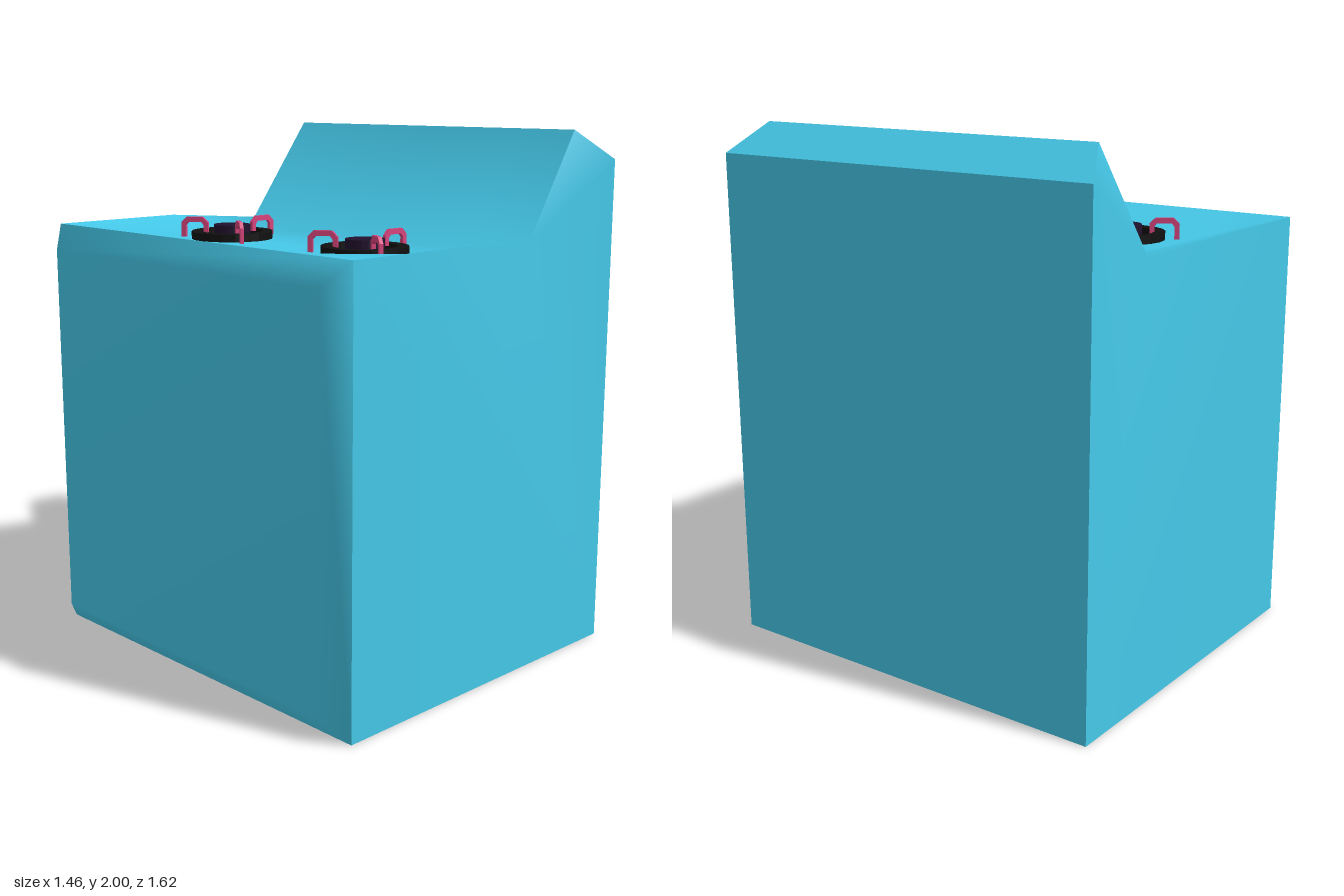
import * as THREE from 'three';

const blue = new THREE.MeshStandardMaterial({ color: 0x45c8e8 });
const black = new THREE.MeshStandardMaterial({ color: 0x111111, flatShading: true });
const purple = new THREE.MeshStandardMaterial({ color: 0x21122e, flatShading: true });
const pink = new THREE.MeshStandardMaterial({ color: 0xd8447c, flatShading: true });

// One smooth-shaded patch of the casing; patches meet in sharp edges
function patch(name, corners, faces) {
  const geo = new THREE.BufferGeometry();
  geo.setAttribute('position', new THREE.Float32BufferAttribute(corners.flat(), 3));
  geo.setIndex(faces.flat());
  geo.computeVertexNormals();
  const mesh = new THREE.Mesh(geo, blue);
  mesh.name = name;
  return mesh;
}
const quad = (a, b, c, d) => [a, b, c, a, c, d];

function createCasing() {
  const casing = new THREE.Group();
  casing.name = 'casing';

  // Front and back walls, leaning inward under the raised ridge
  const wall = [[0.73, 0, 0.81], [0.73, 1.89, 0.81], [0.3, 1.6, 0.75], [-0.1, 1.63, 0.81],
    [-0.655, 1.63, 0.81], [-0.655, 0, 0.81], [0.58, 2, 0.73]];
  const wallFaces = [[0, 1, 2], [0, 2, 3], [0, 3, 4], [0, 4, 5], [1, 6, 2]];
  casing.add(patch('frontWall', wall, wallFaces));
  casing.add(patch('backWall', wall.map(([x, y, z]) => [x, y, -z]), wallFaces.map(([a, b, c]) => [a, c, b])));

  // Flat right side, underside and the sloping ridge cap
  casing.add(patch('tallSide', [[0.73, 0, 0.81], [0.73, 0, -0.81], [0.73, 1.89, -0.81], [0.73, 1.89, 0.81]], quad(0, 1, 2, 3)));
  casing.add(patch('underside', [[-0.655, 0, -0.81], [0.73, 0, -0.81], [0.73, 0, 0.81], [-0.655, 0, 0.81]], quad(0, 1, 2, 3)));
  casing.add(patch('ridgeCap', [[0.58, 2, 0.73], [0.73, 1.89, 0.81], [0.73, 1.89, -0.81], [0.58, 2, -0.73]], quad(0, 1, 2, 3)));

  // Softly bevelled low side: outer rim followed by the inset panel
  const low = [[-0.655, 0, -0.81], [-0.655, 0, 0.81], [-0.655, 1.63, 0.81], [-0.655, 1.63, -0.81],
    [-0.73, 0.09, -0.73], [-0.73, 0.09, 0.73], [-0.73, 1.54, 0.73], [-0.73, 1.54, -0.73]];
  const lowFaces = [quad(4, 5, 6, 7)];
  for (let i = 0; i < 4; i++) {
    const j = (i + 1) % 4;
    lowFaces.push(quad(i, j, j + 4, i + 4));
  }
  casing.add(patch('lowSide', low, lowFaces));

  // Hob top: columns of [x, rim height, floor height, half depth] form a shallow basin
  const columns = [[-0.655, 1.63, 1.63, 0.81], [-0.42, 1.63, 1.565, 0.81], [-0.1, 1.63, 1.56, 0.81],
    [0.3, 1.6, 1.555, 0.75], [0.58, 2, 2, 0.73]];
  const rows = [-1, -0.7, 0, 0.7, 1];
  const top = [], topFaces = [];
  columns.forEach(([x, rim, floor, depth], i) => rows.forEach((r, j) => {
    top.push([x, Math.abs(r) === 1 ? rim : floor, r * depth]);
    if (i < columns.length - 1 && j < rows.length - 1) {
      const a = i * rows.length + j;
      topFaces.push(quad(a, a + 1, a + rows.length + 1, a + rows.length));
    }
  }));
  casing.add(patch('hobTop', top, topFaces));
  return casing;
}

function createBurner(z) {
  const burner = new THREE.Group();
  burner.name = 'burner';
  burner.position.set(-0.15, 1.55, z);

  const profile = [[0.12, 0.02], [0.16, 0.02], [0.16, 0.05], [0.12, 0.05], [0.12, 0.02]];
  const ring = new THREE.Mesh(new THREE.LatheGeometry(profile.map(p => new THREE.Vector2(...p)), 20), black);
  ring.name = 'burnerRing';

  const cap = new THREE.Mesh(new THREE.CylinderGeometry(0.072, 0.072, 0.075, 20), purple);
  cap.name = 'burnerCap';
  cap.position.y = 0.0375;
  burner.add(ring, cap);

  // Three arched pot supports straddling the ring
  const arch = new THREE.Shape([[0.1, 0.04], [0.118, 0.04], [0.118, 0.068], [0.128, 0.08], [0.182, 0.08],
    [0.193, 0.068], [0.193, 0.02], [0.212, 0.02], [0.212, 0.078], [0.19, 0.1], [0.122, 0.1], [0.1, 0.078]]
    .map(p => new THREE.Vector2(...p)));
  const archGeo = new THREE.ExtrudeGeometry(arch, { depth: 0.014, bevelEnabled: false }).translate(0, 0, -0.007);
  for (let i = 0; i < 3; i++) {
    const support = new THREE.Mesh(archGeo, pink);
    support.name = 'potSupport';
    support.rotation.y = i * Math.PI * 2 / 3;
    burner.add(support);
  }
  return burner;
}

export function createModel() {
  const model = new THREE.Group();
  model.name = 'stove';
  model.add(createCasing());
  for (const z of [-0.368, 0.365]) model.add(createBurner(z));
  return model;
}
